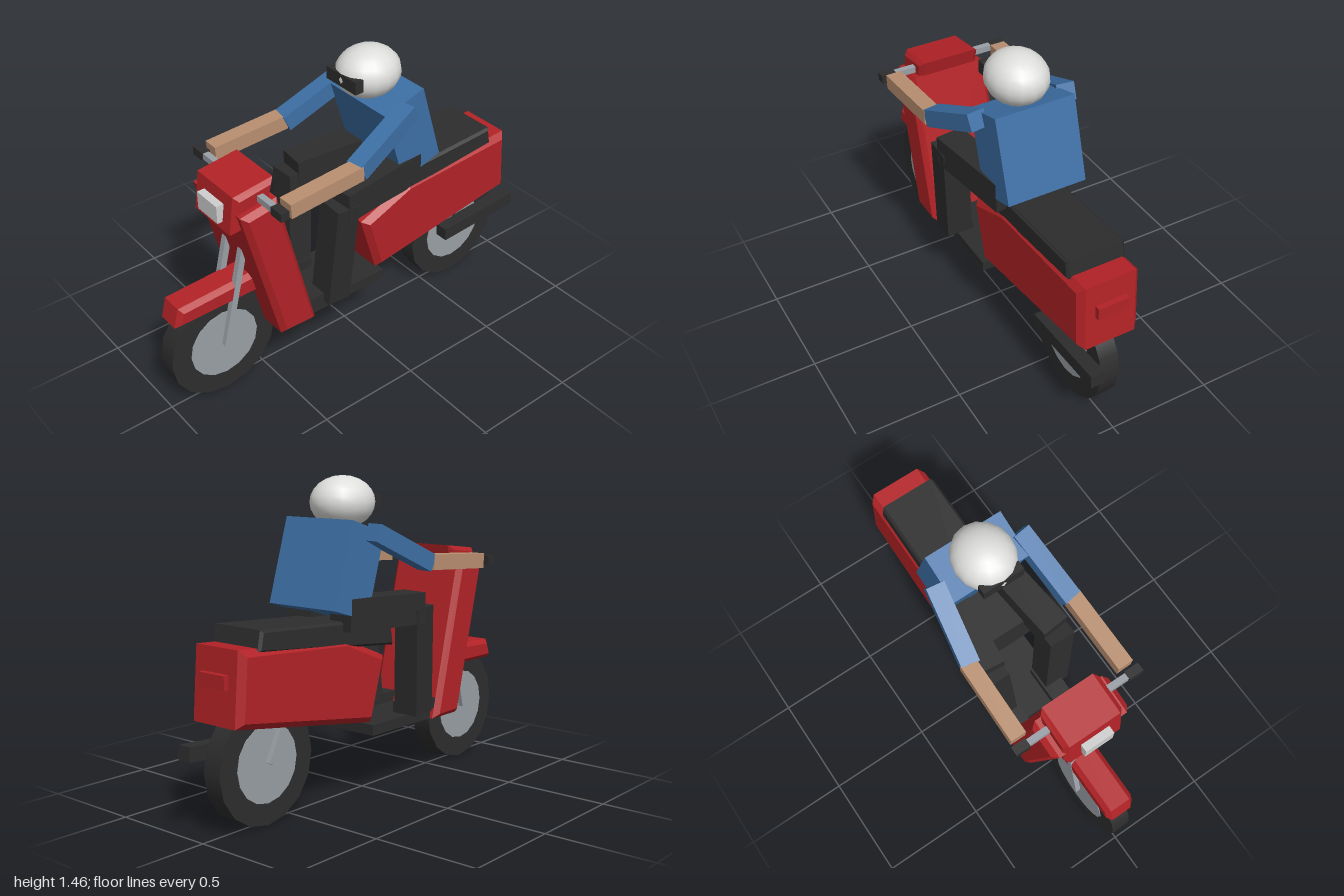
import * as THREE from 'three';

export function createModel() {
  const model = new THREE.Group();
  model.name = 'scooterWithRider';

  const mat = (name, color) => {
    const m = new THREE.MeshStandardMaterial({ color });
    m.name = name;
    return m;
  };
  const red = mat('red paint', 0xb22226);
  const black = mat('black', 0x2d2d2d);
  const steel = mat('grey metal', 0x9aa0a6);
  const blue = mat('blue jacket', 0x3d6fa5);
  const skin = mat('skin', 0xb98f70);
  const white = mat('white helmet', 0xdededc);
  const glass = mat('lamp glass', 0xcfcfcf);

  const add = (name, geometry, material, x = 0, y = 0, z = 0) => {
    const mesh = new THREE.Mesh(geometry, material);
    mesh.name = name;
    mesh.position.set(x, y, z);
    model.add(mesh);
    return mesh;
  };
  const box = (name, material, size, pos) =>
    add(name, new THREE.BoxGeometry(...size), material, ...pos);

  // Box stretched between two points; "up" fixes its roll
  const beam = (name, material, a, b, w, h, up = [0, 1, 0]) => {
    const from = new THREE.Vector3(...a), to = new THREE.Vector3(...b);
    const mesh = add(name, new THREE.BoxGeometry(w, h, from.distanceTo(to)), material);
    mesh.position.copy(from).add(to).multiplyScalar(0.5);
    mesh.up.set(...up);
    mesh.lookAt(to);
    return mesh;
  };

  // Side profile of [z, y] points, extruded across x with chamfered edges
  const panel = (name, material, points, width, bevel) => {
    const shape = new THREE.Shape(points.map(([z, y]) => new THREE.Vector2(z, y)));
    const geo = new THREE.ExtrudeGeometry(shape, {
      depth: width - 2 * bevel, bevelEnabled: bevel > 0, bevelThickness: bevel,
      bevelSize: bevel, bevelOffset: -bevel, bevelSegments: 1,
    });
    geo.translate(0, 0, bevel - width / 2);
    geo.rotateY(-Math.PI / 2);
    return add(name, geo, material);
  };

  // Wheels
  for (const [name, z] of [['front', 0.727], ['rear', -0.672]]) {
    const tyre = new THREE.CylinderGeometry(0.273, 0.273, 0.094, 16).rotateZ(Math.PI / 2);
    const hub = new THREE.CylinderGeometry(0.175, 0.175, 0.1, 16).rotateZ(Math.PI / 2);
    add(name + 'Tyre', tyre, black, 0, 0.273, z);
    add(name + 'WheelDisc', hub, steel, 0, 0.273, z);
  }

  // Bodywork
  panel('frontShield', red,
    [[0.685, 1.01], [0.505, 0.295], [0.315, 0.295], [0.5, 1.04]], 0.4, 0.025);
  panel('handlebarHousing', red,
    [[0.685, 1.09], [0.71, 0.91], [0.53, 0.92], [0.485, 1.115]], 0.305, 0.022);
  panel('frontFender', red,
    [[0.97, 0.49], [0.945, 0.585], [0.5, 0.605], [0.5, 0.49]], 0.146, 0.022);
  panel('rearBody', red,
    [[0, 0.65], [-0.09, 0.35], [-0.925, 0.48], [-0.9, 0.8], [-0.27, 0.76]], 0.3, 0.028);
  panel('seat', black,
    [[0.06, 0.69], [0.04, 0.82], [-0.785, 0.867], [-0.803, 0.775]], 0.285, 0.012);
  box('footboard', black, [0.32, 0.05, 0.43], [0, 0.32, 0.105]);
  box('tailLamp', red, [0.15, 0.06, 0.04], [0, 0.665, -0.915]);
  box('headlight', glass, [0.146, 0.085, 0.06], [0, 0.99, 0.7]);

  // Handlebar and exhaust
  box('handlebar', steel, [0.56, 0.03, 0.03], [0, 1.053, 0.565]);
  beam('exhaust', black, [0.103, 0.332, -0.54], [0.103, 0.358, -0.998], 0.066, 0.066);

  // Rider's torso and helmet
  const torso = box('torso', blue, [0.385, 0.395, 0.226], [0, 1.06, -0.24]);
  torso.rotation.x = 0.297;
  const helmet = add('helmet', new THREE.SphereGeometry(1, 16, 12), white, 0, 1.345, -0.133);
  helmet.scale.set(0.14, 0.118, 0.155);
  box('visor', black, [0.2, 0.06, 0.044], [0, 1.345, -0.003]);

  // Mirrored parts
  for (const [side, s] of [['left', 1], ['right', -1]]) {
    beam(side + 'FrontFork', steel, [s * 0.06, 0.9, 0.575], [s * 0.06, 0.27, 0.727],
      0.03, 0.03, [0, 0, 1]);
    beam(side + 'RearStrut', steel, [s * 0.06, 0.52, -0.55], [s * 0.06, 0.273, -0.672],
      0.03, 0.03, [0, 0, 1]);
    box(side + 'Grip', black, [0.072, 0.04, 0.042], [s * 0.292, 1.053, 0.565]);

    beam(side + 'UpperArm', blue, [s * 0.218, 1.225, -0.187], [s * 0.265, 1.07, 0.145], 0.085, 0.08);
    beam(side + 'Forearm', skin, [s * 0.272, 1.074, 0.14], [s * 0.277, 1.05, 0.525], 0.075, 0.07);

    beam(side + 'Thigh', black, [s * 0.125, 0.87, -0.29], [s * 0.175, 0.857, 0.17], 0.135, 0.145);
    beam(side + 'LowerLeg', black, [s * 0.177, 0.865, 0.165], [s * 0.148, 0.35, 0.2],
      0.13, 0.12, [0, 0, 1]);
    box(side + 'Foot', black, [0.1, 0.05, 0.21], [s * 0.125, 0.37, 0.245]);
  }

  return model;
}
